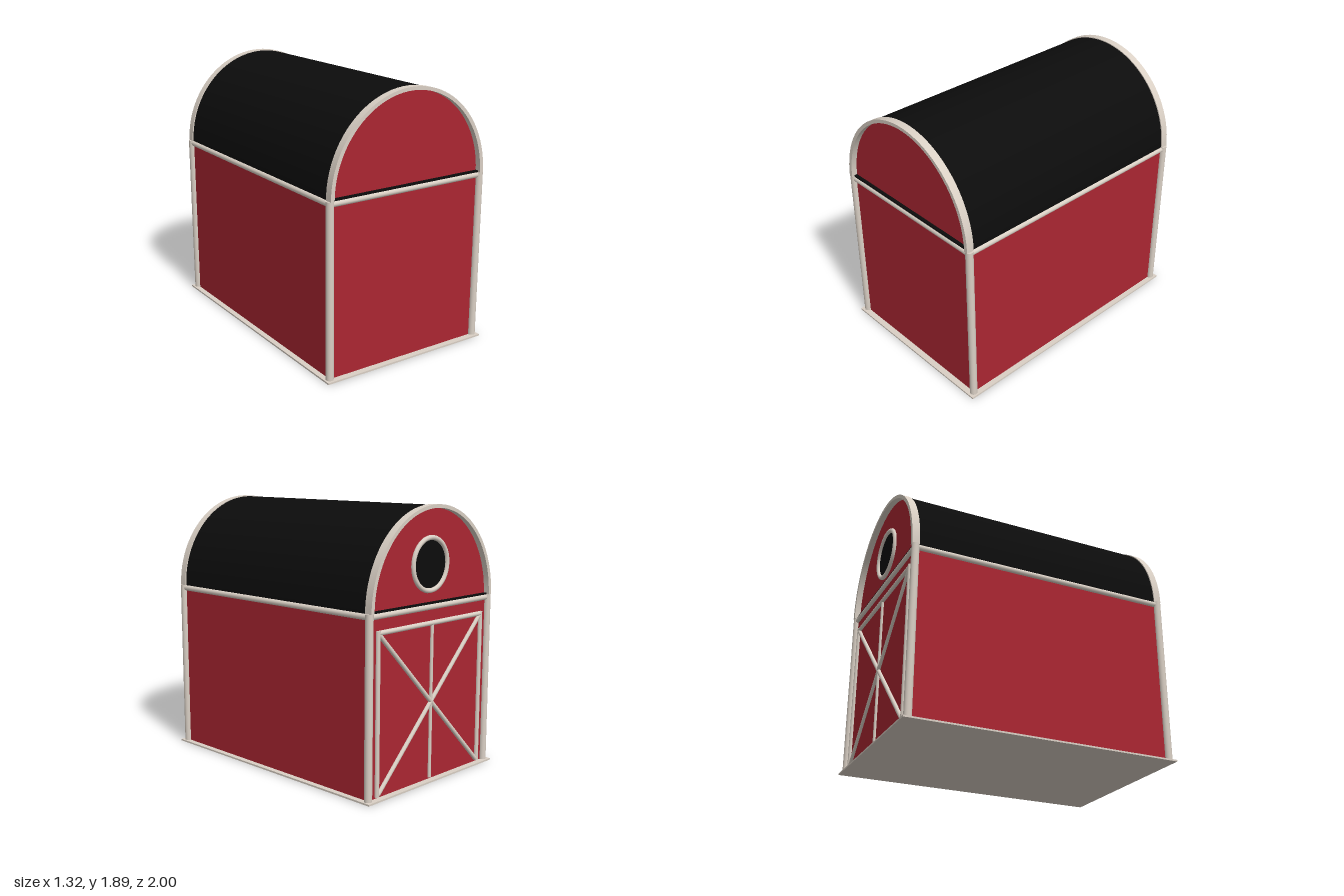
import * as THREE from 'three';
import { toCreasedNormals } from 'three/addons/utils/BufferGeometryUtils.js';

const paint = (name, color) => {
  const m = new THREE.MeshStandardMaterial({ color });
  m.name = name;
  return m;
};

export function createModel() {
  const red = paint('barn red', 0xab2632);
  const black = paint('roof black', 0x0c0c0c);
  const cream = paint('trim cream', 0xdad0c5);
  const barn = new THREE.Group();
  barn.name = 'barn';

  const add = (name, geometry, material, x = 0, y = 0, z = 0) => {
    const mesh = new THREE.Mesh(geometry, material);
    mesh.name = name;
    mesh.position.set(x, y, z);
    barn.add(mesh);
    return mesh;
  };
  const box = (name, w, h, d, material, x, y, z) =>
    add(name, new THREE.BoxGeometry(w, h, d), material, x, y, z);

  // round bar between two points
  const bar = (name, a, b, r) => {
    const from = new THREE.Vector3(...a), to = new THREE.Vector3(...b);
    const dir = to.clone().sub(from);
    const mesh = add(name, new THREE.CylinderGeometry(r, r, dir.length(), 12), cream);
    mesh.position.copy(from).add(to).multiplyScalar(0.5);
    mesh.quaternion.setFromUnitVectors(new THREE.Vector3(0, 1, 0), dir.normalize());
    return mesh;
  };

  // half ellipse, extruded along z and centred there
  const SPRING = 1.237;
  const halfEllipse = (rx, ry) => new THREE.Shape().absellipse(0, 0, rx, ry, 0, Math.PI, false, 0);
  const vault = (shape, depth) => {
    const g = new THREE.ExtrudeGeometry(shape, { depth, bevelEnabled: false, curveSegments: 22 });
    g.translate(0, 0, -depth / 2);
    return toCreasedNormals(g, 0.6);
  };

  // base and walls
  box('base', 1.32, 0.012, 2, cream, 0, 0.006, 0);
  box('walls', 1.24, 1.213, 1.91, red, 0, 0.6185, 0);

  // corner posts and top beams
  for (const sx of [-1, 1]) {
    for (const sz of [-1, 1]) {
      const post = new THREE.CylinderGeometry(0.027, 0.027, 1.225, 16);
      add('cornerPost', post, cream, sx * 0.621, 0.6245, sz * 0.957);
    }
    bar('sideBeam', [sx * 0.618, 1.216, -0.957], [sx * 0.618, 1.216, 0.957], 0.021);
  }
  for (const sz of [-1, 1]) {
    bar('endBeam', [-0.621, 1.216, sz * 0.955], [0.621, 1.216, sz * 0.955], 0.021);
  }

  // barrel roof
  add('roof', vault(halfEllipse(0.624, 0.652), 1.87), black, 0, SPRING, 0);

  // gables with arched trim
  for (const sz of [-1, 1]) {
    add('gable', vault(halfEllipse(0.612, 0.64), 0.008), red, 0, SPRING, sz * 0.938);
    box('gableSill', 1.22, 0.012, 0.03, black, 0, SPRING + 0.004, sz * 0.95);

    const arch = new THREE.Shape();
    arch.absellipse(0, 0, 0.632, 0.658, 0, Math.PI, false, 0);
    arch.lineTo(-0.604, 0);
    arch.absellipse(0, 0, 0.604, 0.634, Math.PI, 0, true, 0);
    add('archTrim', vault(arch, 0.055), cream, 0, SPRING, sz * 0.957);
  }

  // round loft window at the back
  const pane = add('windowPane', new THREE.CircleGeometry(0.18, 40), black, 0.015, 1.5, -0.945);
  pane.rotation.y = Math.PI;
  add('windowFrame', new THREE.TorusGeometry(0.177, 0.017, 10, 40), cream, 0.015, 1.5, -0.947);

  // barn door frame and cross braces at the back
  const W = 0.54, TOP = 1.105, LOW = 0.022, Z = -0.958;
  bar('doorHead', [-W, TOP, Z], [W, TOP, Z], 0.017);
  for (const s of [-1, 1]) {
    bar('doorJamb', [s * W, LOW, Z], [s * W, TOP + 0.016, Z], 0.017);
    bar('doorBrace', [-s * (W - 0.01), LOW + 0.01, Z], [s * (W - 0.01), TOP - 0.01, Z], 0.016);
  }
  bar('doorMullion', [0, LOW, Z], [0, TOP, Z], 0.013);

  return barn;
}
